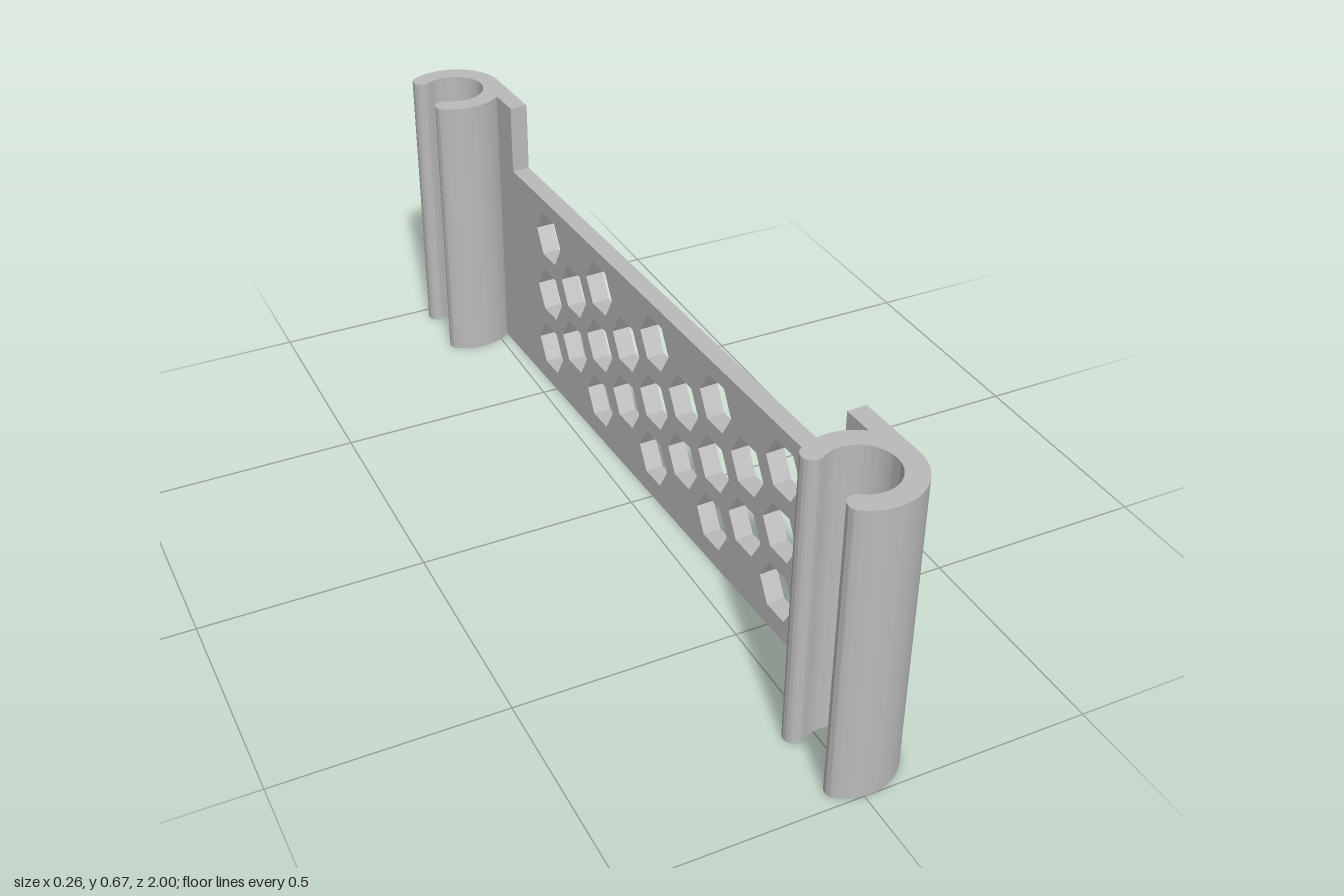
import * as THREE from 'three';
import { toCreasedNormals } from 'three/addons/utils/BufferGeometryUtils.js';

const HEIGHT = 0.67;      // clips and raised panel ends
const LOW = 0.505;        // panel top between the ends
const THICK = 0.042;      // panel thickness
const OUTER = 0.117;      // clip radii
const INNER = 0.072;
const CLIP_Z = 0.883;
const BACK_X = -0.054;    // clip centres in x
const FRONT_X = 0.013;

// C-shaped clip with rounded lips, open towards -x
function clipGeometry() {
  const a = THREE.MathUtils.degToRad(124);
  const mid = (OUTER + INNER) / 2, lip = (OUTER - INNER) / 2;
  const lx = mid * Math.cos(a), ly = mid * Math.sin(a);
  const s = new THREE.Shape();
  s.absarc(0, 0, OUTER, a, -a, true);
  s.absarc(lx, -ly, lip, -a, -a - Math.PI, true);
  s.absarc(0, 0, INNER, -a, a, false);
  s.absarc(lx, ly, lip, a + Math.PI, a, true);
  const g = new THREE.ExtrudeGeometry(s, { depth: HEIGHT, bevelEnabled: false, curveSegments: 32 });
  g.rotateX(-Math.PI / 2);
  return toCreasedNormals(g, 0.6);
}

// Flat panel with raised ends and a honeycomb of hexagonal holes
function panelGeometry() {
  const step = 0.72;
  const s = new THREE.Shape([
    [-CLIP_Z, 0], [CLIP_Z, 0], [CLIP_Z, HEIGHT], [step, HEIGHT],
    [step, LOW], [-step, LOW], [-step, HEIGHT], [-CLIP_Z, HEIGHT],
  ].map(([x, y]) => new THREE.Vector2(x, y)));

  const rowPitch = 0.153, hexR = 0.064;
  for (let col = -4; col <= 4; col++) {
    const odd = Math.abs(col) % 2;
    for (let row = 0; row < 3 - odd; row++) {
      const cx = col * 0.1315, cy = 0.107 + (row + odd / 2) * rowPitch;
      const pts = [];
      for (let i = 0; i < 6; i++) {
        const t = -i * Math.PI / 3;
        pts.push(new THREE.Vector2(cx + hexR * Math.cos(t), cy + hexR * Math.sin(t)));
      }
      s.holes.push(new THREE.Path(pts));
    }
  }
  const g = new THREE.ExtrudeGeometry(s, { depth: THICK, bevelEnabled: false });
  g.translate(0, 0, -THICK);
  g.rotateY(Math.PI / 2);
  return g;
}

export function createModel() {
  const group = new THREE.Group();
  group.name = 'clipOnPanel';
  const grey = new THREE.MeshStandardMaterial({ color: 0xbababa });
  grey.name = 'grey plastic';

  // Clips at both ends
  const clip = clipGeometry();
  for (const [name, x, z] of [['backClip', BACK_X, -CLIP_Z], ['frontClip', FRONT_X, CLIP_Z]]) {
    const m = new THREE.Mesh(clip, grey);
    m.name = name;
    m.position.set(x, 0, z);
    group.add(m);
  }

  // Panel, slightly turned so its outer face is tangent to both clips
  const panel = new THREE.Mesh(panelGeometry(), grey);
  panel.name = 'honeycombPanel';
  panel.position.x = (BACK_X + FRONT_X) / 2 + OUTER;
  panel.rotation.y = Math.atan2(FRONT_X - BACK_X, 2 * CLIP_Z);
  group.add(panel);

  return group;
}
